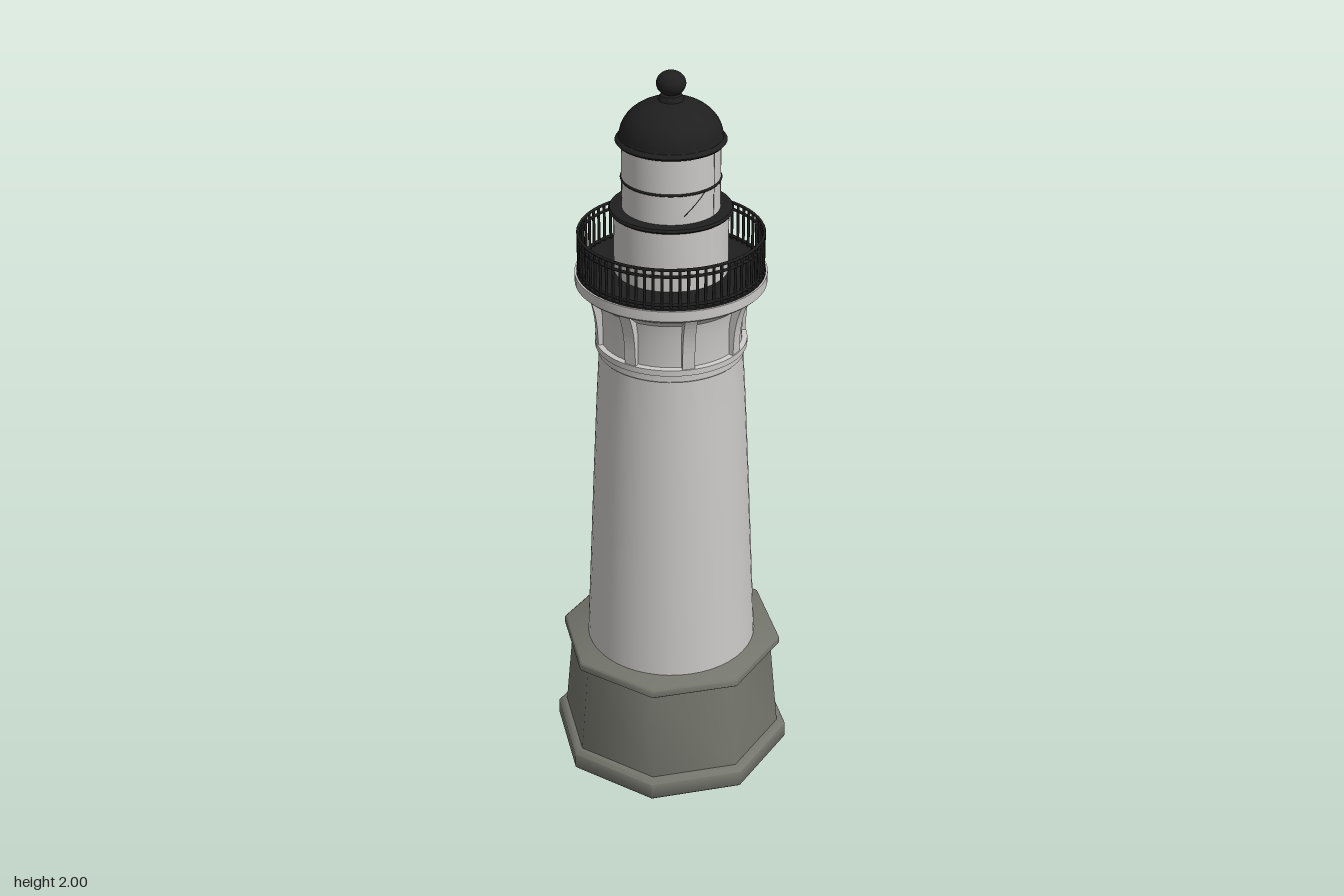
import * as THREE from 'three';
import { toCreasedNormals } from 'three/addons/utils/BufferGeometryUtils.js';

export function createModel() {
  const model = new THREE.Group();
  model.name = 'lighthouse';

  const mat = (name, color) => {
    const m = new THREE.MeshStandardMaterial({ color });
    m.name = name;
    return m;
  };
  const white = mat('whitewash', 0xcac8c6);
  const stone = mat('grey stone', 0x74756c);
  const under = mat('underside grey', 0xa4a4a4);
  const iron = mat('black iron', 0x1f1f1f);

  const add = (name, geometry, material, parent = model) => {
    const mesh = new THREE.Mesh(geometry, material);
    mesh.name = name;
    parent.add(mesh);
    return mesh;
  };
  // Turned part from [radius, height] pairs, listed from the bottom up
  const turn = (name, profile, material, sides = 48, start = 0, crease = 0.5) => {
    const pts = profile.map(([r, y]) => new THREE.Vector2(r, y));
    const g = new THREE.LatheGeometry(pts, sides, start);
    return add(name, toCreasedNormals(g, crease), material);
  };
  const ring = (name, radius, tube, y, material, parent = model) => {
    const mesh = add(name, new THREE.TorusGeometry(radius, tube, 6, 64), material, parent);
    mesh.rotation.x = Math.PI / 2;
    mesh.position.y = y;
    return mesh;
  };

  // Octagonal stone base, softly shaded; widths are given across the flats
  const k = 1 / Math.cos(Math.PI / 8);
  turn('octagonalBase', [
    [0.302, 0], [0.307, 0.006], [0.307, 0.052], [0.301, 0.06], [0.285, 0.062],
    [0.262, 0.325], [0.277, 0.33], [0.284, 0.336], [0.284, 0.354], [0.278, 0.36], [0, 0.36],
  ].map(([r, y]) => [r * k, y]), stone, 8, Math.PI / 8, 0.85);
  const foot = add('baseUnderside', new THREE.CircleGeometry(0.302 * k, 8, Math.PI / 8), under);
  foot.rotation.x = Math.PI / 2;

  // Tapering tower, its double collar and the flared core behind the brackets
  turn('tower', [
    [0.234, 0.36], [0.222, 0.6], [0.21, 0.85], [0.197, 1.1], [0.188, 1.245],
    [0.191, 1.248], [0.191, 1.266], [0.198, 1.268], [0.198, 1.284], [0.184, 1.286],
    [0.184, 1.37], [0.191, 1.405], [0.213, 1.425], [0.213, 1.442],
  ], white);

  // Gallery slab
  turn('gallerySlab', [
    [0.18, 1.44], [0.24, 1.44], [0.246, 1.446], [0.246, 1.473], [0, 1.473],
  ], white, 64);

  // Curved brackets carrying the gallery
  const profile = new THREE.Shape();
  profile.moveTo(0.17, 1.284);
  profile.lineTo(0.195, 1.284);
  profile.lineTo(0.197, 1.33);
  profile.quadraticCurveTo(0.202, 1.4, 0.228, 1.442);
  profile.lineTo(0.17, 1.442);
  const bracketGeo = new THREE.ExtrudeGeometry(profile, { depth: 0.032, bevelEnabled: false, curveSegments: 8 });
  bracketGeo.translate(0, 0, -0.016);
  const brackets = new THREE.Group();
  brackets.name = 'brackets';
  model.add(brackets);
  for (let i = 0; i < 8; i++) {
    add('bracket', bracketGeo, white, brackets).rotation.y = i * Math.PI / 4;
  }

  // Iron deck and railing
  turn('galleryDeck', [[0.241, 1.47], [0.241, 1.478], [0, 1.478]], iron, 64);
  const railing = new THREE.Group();
  railing.name = 'railing';
  model.add(railing);
  ring('topRail', 0.235, 0.004, 1.58, iron, railing);
  ring('upperRail', 0.235, 0.004, 1.562, iron, railing);
  ring('lowerRail', 0.235, 0.004, 1.486, iron, railing);
  const barGeo = new THREE.CylinderGeometry(0.0038, 0.0038, 0.105, 6);
  const count = 68;
  for (let i = 0; i < count; i++) {
    const a = i / count * Math.PI * 2;
    add('baluster', barGeo, iron, railing).position.set(0.235 * Math.sin(a), 1.527, 0.235 * Math.cos(a));
  }

  // Watch room with its iron ledge
  turn('watchRoom', [[0.146, 1.475], [0.146, 1.64]], white);
  turn('ledge', [
    [0.14, 1.638], [0.154, 1.638], [0.158, 1.643], [0.154, 1.649], [0, 1.649],
  ], iron);

  // Lantern room with a middle bar, side uprights and short braces
  turn('lanternRoom', [[0.124, 1.648], [0.124, 1.825]], white);
  const bars = new THREE.Group();
  bars.name = 'glazingBars';
  model.add(bars);
  ring('middleBar', 0.124, 0.0035, 1.727, iron, bars);
  const bar = (name, a0, y0, a1, y1) => {
    const pts = [0, 0.25, 0.5, 0.75, 1].map((t) => {
      const a = a0 + (a1 - a0) * t;
      return new THREE.Vector3(0.1235 * Math.cos(a), y0 + (y1 - y0) * t, 0.1235 * Math.sin(a));
    });
    add(name, new THREE.TubeGeometry(new THREE.CatmullRomCurve3(pts), 8, 0.0013, 4), iron, bars);
  };
  for (const side of [0, Math.PI]) {
    bar('upright', side, 1.65, side, 1.825);
    for (const dir of [-1, 1]) {
      bar('brace', side + dir * 0.25, 1.727, side + dir * 0.75, 1.67);
    }
  }

  // Dome with eaves, collar and slightly flattened finial
  const dome = [[0.115, 1.82], [0.134, 1.82], [0.139, 1.826], [0.134, 1.833], [0.13, 1.835]];
  for (let i = 1; i <= 10; i++) {
    const a = i / 10 * 1.32;
    dome.push([0.129 * Math.cos(a), 1.835 + 0.095 * Math.sin(a)]);
  }
  dome.push([0.03, 1.934], [0.027, 1.94], [0.018, 1.943], [0.018, 1.955]);
  turn('dome', dome, iron, 48, 0, 0.7);
  const finial = add('finialBall', new THREE.SphereGeometry(0.037, 24, 16), iron);
  finial.scale.y = 0.84;
  finial.position.y = 1.969;

  return model;
}
